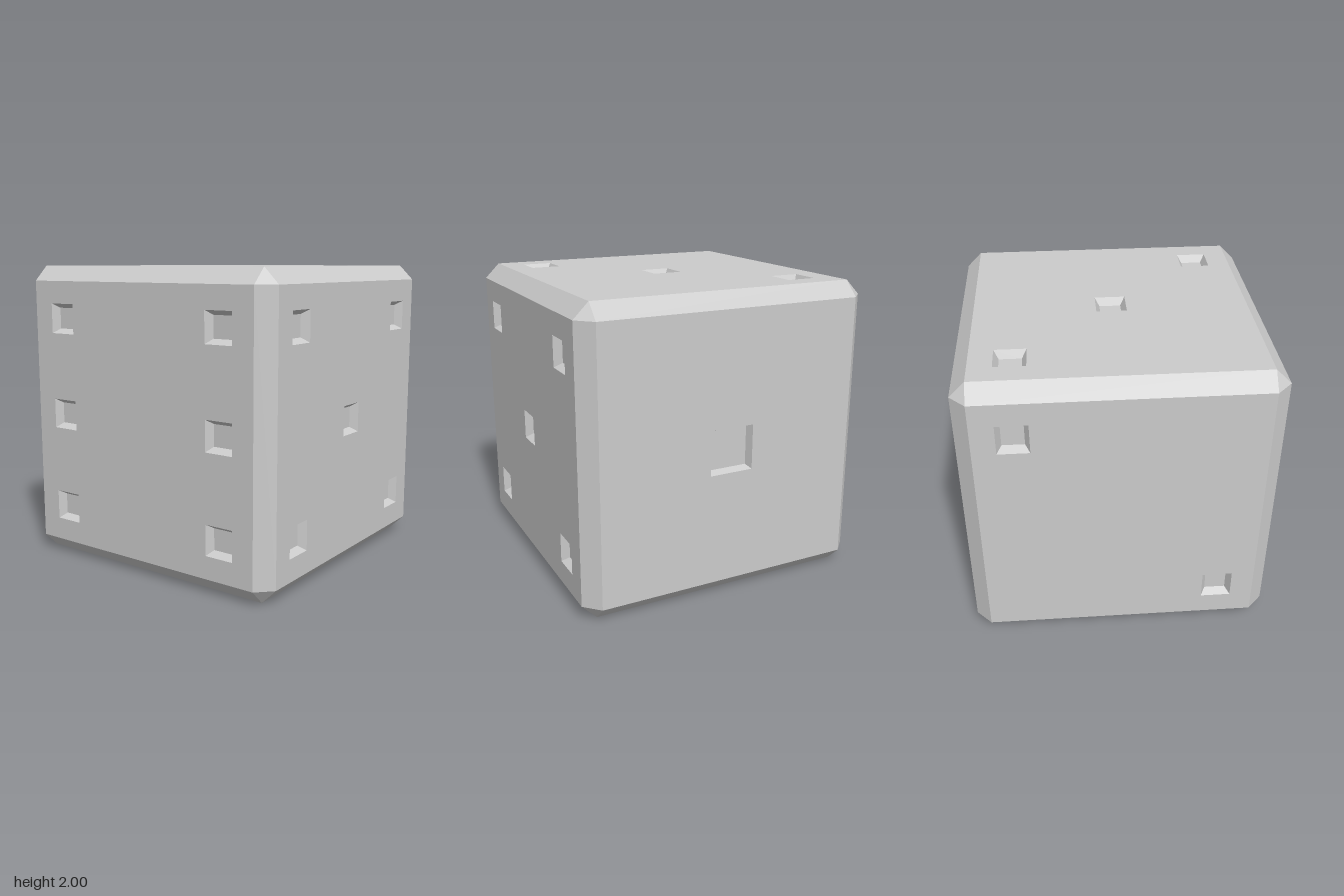
import * as THREE from 'three';
import { mergeGeometries } from 'three/addons/utils/BufferGeometryUtils.js';

const BEVEL = 0.1, FLAT = 1 - BEVEL, DEPTH = 0.05, P = 0.65;
const material = new THREE.MeshStandardMaterial({ color: 0xcccccc, flatShading: true });

// Flat facets with their own normals
function facet(geometry) {
  const g = geometry.index ? geometry.toNonIndexed() : geometry;
  g.computeVertexNormals();
  return g;
}

function square(Type, cx, cy, h) {
  const s = new Type();
  s.moveTo(cx - h, cy - h).lineTo(cx + h, cy - h).lineTo(cx + h, cy + h).lineTo(cx - h, cy + h).closePath();
  return s;
}

// Sunken square pip: four sloping walls facing inwards and a floor
function pipGeometry(x, y, outer, inner) {
  const walls = new THREE.CylinderGeometry(outer * Math.SQRT2, inner * Math.SQRT2, DEPTH, 4, 1, true, Math.PI / 4);
  walls.rotateX(Math.PI / 2).translate(0, 0, 1 - DEPTH / 2);
  const index = walls.index;
  for (let i = 0; i < index.count; i += 3) {
    const a = index.getX(i);
    index.setX(i, index.getX(i + 1));
    index.setX(i + 1, a);
  }
  const floor = new THREE.PlaneGeometry(inner * 2, inner * 2).translate(0, 0, 1 - DEPTH);
  return mergeGeometries([facet(walls), facet(floor)]).translate(x, y, 0);
}

// One face, built facing +z, with a hole for each pip
function makeFace(name, pips, outer = 0.1, inner = 0.07) {
  const group = new THREE.Group();
  group.name = name;
  const shape = square(THREE.Shape, 0, 0, FLAT);
  for (const [x, y] of pips) {
    shape.holes.push(square(THREE.Path, x, y, outer));
    const pip = new THREE.Mesh(pipGeometry(x, y, outer, inner), material);
    pip.name = 'pip';
    group.add(pip);
  }
  const panel = new THREE.Mesh(new THREE.ShapeGeometry(shape).translate(0, 0, 1), material);
  panel.name = 'panel';
  group.add(panel);
  return group;
}

export function createModel() {
  const model = new THREE.Group();
  model.name = 'die';
  const body = new THREE.Group();
  body.name = 'body';
  body.position.y = 1;
  model.add(body);

  // Six numbered faces: name, pips, rotation, pip half sizes
  const rising = [[-P, -P], [P, P]], falling = [[-P, P], [P, -P]];
  const four = [...rising, ...falling];
  const H = Math.PI / 2;
  const faces = [
    ['frontFace', [...four, [0, 0]], [0, 0]],
    ['backFace', falling, [0, Math.PI]],
    ['oneFace', [[0, 0]], [0, H], 0.15, 0.13],
    ['sixFace', [...four, [-P, 0], [P, 0]], [0, -H]],
    ['topFace', [...rising, [0, 0]], [-H, 0]],
    ['bottomFace', four, [H, 0]],
  ];
  for (const [name, pips, [rx, ry], outer, inner] of faces) {
    const face = makeFace(name, pips, outer, inner);
    face.rotation.set(rx, ry, 0);
    body.add(face);
  }

  // Twelve bevelled edges, four along each axis
  for (const axis of ['x', 'y', 'z']) {
    for (let k = 0; k < 4; k++) {
      const strip = new THREE.PlaneGeometry(FLAT * 2, BEVEL * Math.SQRT2);
      strip.rotateX(-Math.PI / 4).translate(0, 1 - BEVEL / 2, 1 - BEVEL / 2).rotateX(k * H);
      if (axis === 'y') strip.rotateZ(H);
      if (axis === 'z') strip.rotateY(H);
      const edge = new THREE.Mesh(strip, material);
      edge.name = 'bevelEdge';
      body.add(edge);
    }
  }

  // Eight triangular corners
  for (const x of [-1, 1]) for (const y of [-1, 1]) for (const z of [-1, 1]) {
    const a = [x, y * FLAT, z * FLAT], b = [x * FLAT, y, z * FLAT], c = [x * FLAT, y * FLAT, z];
    const points = x * y * z > 0 ? [a, b, c] : [a, c, b];
    const g = new THREE.BufferGeometry();
    g.setAttribute('position', new THREE.Float32BufferAttribute(points.flat(), 3));
    const corner = new THREE.Mesh(facet(g), material);
    corner.name = 'bevelCorner';
    body.add(corner);
  }
  return model;
}
